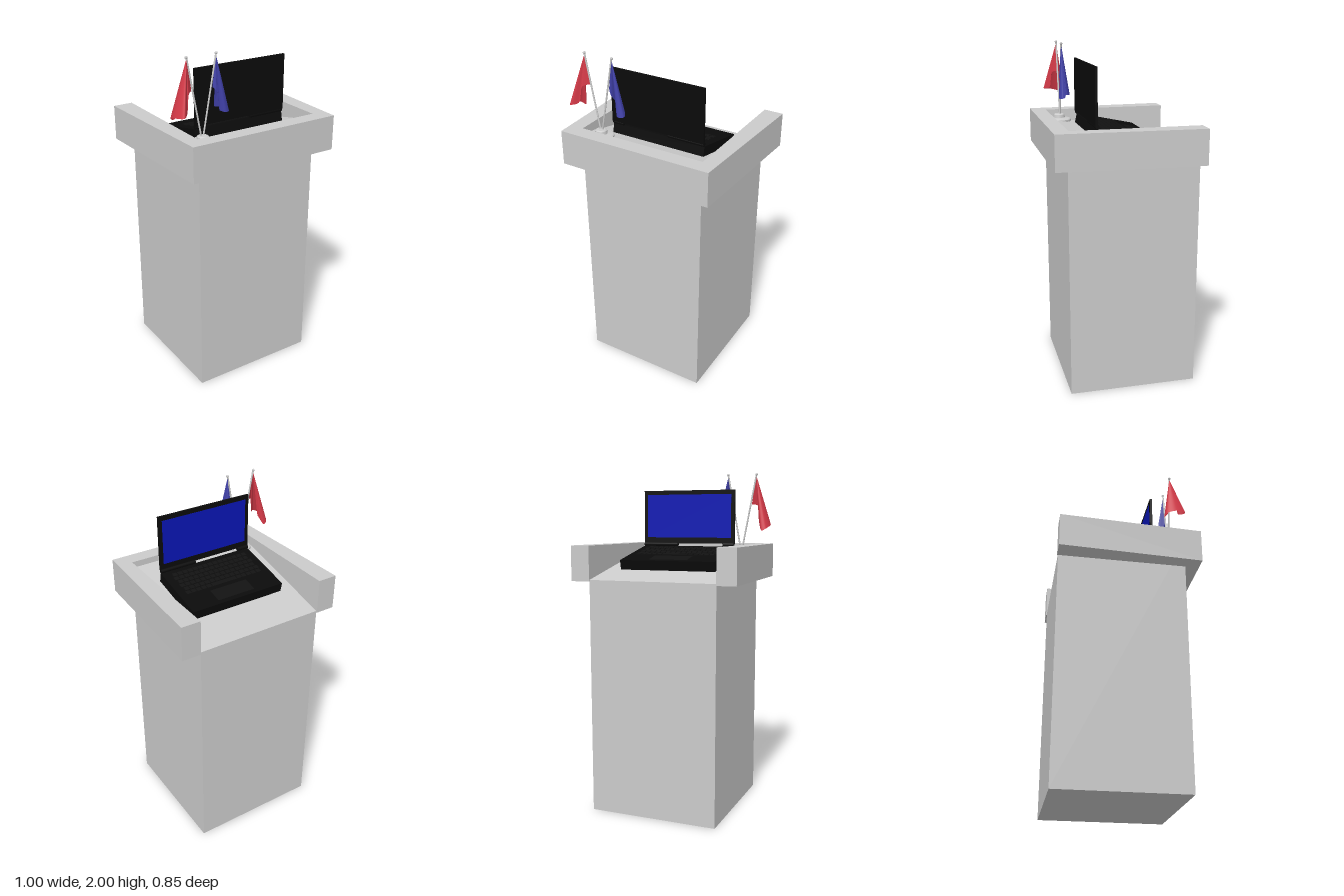
import * as THREE from 'three';

const V = (x, y, z) => new THREE.Vector3(x, y, z);
const mat = (color, extra = {}) => new THREE.MeshStandardMaterial({ color, ...extra });

function add(parent, name, geometry, material, x = 0, y = 0, z = 0) {
  const mesh = new THREE.Mesh(geometry, material);
  mesh.name = name;
  mesh.position.set(x, y, z);
  parent.add(mesh);
  return mesh;
}

function extrude(points, depth) {
  const shape = new THREE.Shape(points.map(([x, y]) => new THREE.Vector2(x, y)));
  return new THREE.ExtrudeGeometry(shape, { depth, bevelEnabled: false });
}

// Thin rod between two points
function rod(parent, name, a, b, radius, material) {
  const dir = b.clone().sub(a);
  const mesh = add(parent, name, new THREE.CylinderGeometry(radius, radius, dir.length(), 10), material);
  mesh.position.copy(a).add(b).multiplyScalar(0.5);
  mesh.quaternion.setFromUnitVectors(V(0, 1, 0), dir.normalize());
}

// Draped cloth: folds fan out from the pole tip to a wavy hem
function drape(apex, hem, nu = 48, nv = 10) {
  const curve = new THREE.CatmullRomCurve3(hem.map(p => V(...p)));
  const pos = [], idx = [];
  for (let j = 0; j <= nv; j++) {
    const t = 0.02 + 0.98 * j / nv;
    for (let i = 0; i <= nu; i++) {
      const p = apex.clone().lerp(curve.getPoint(i / nu), t);
      pos.push(p.x, p.y, p.z);
      if (i < nu && j < nv) {
        const a = j * (nu + 1) + i, b = a + nu + 1;
        idx.push(a, b, a + 1, a + 1, b, b + 1);
      }
    }
  }
  const g = new THREE.BufferGeometry();
  g.setAttribute('position', new THREE.Float32BufferAttribute(pos, 3));
  g.setIndex(idx);
  g.computeVertexNormals();
  return g;
}

export function createModel() {
  const model = new THREE.Group();
  model.name = 'lectern';
  const grey = mat(0xcccccc);
  const black = mat(0x0b0b0b);
  const keyMat = mat(0x121212);

  // Pedestal with a sloping top
  const backTop = 1.38, frontTop = 1.54;
  const body = extrude([[-0.42, 0], [0.34, 0], [0.34, frontTop], [-0.42, backTop]], 0.77);
  body.rotateY(-Math.PI / 2).translate(0.385, 0, 0);
  add(model, 'pedestal', body, grey);

  // U-shaped rim, open at the back
  const rim = extrude([
    [-0.5, -0.425], [-0.385, -0.425], [-0.385, 0.333], [0.385, 0.333],
    [0.385, -0.425], [0.5, -0.425], [0.467, 0.423], [-0.467, 0.423],
  ], 0.205);
  rim.rotateX(Math.PI / 2).translate(0, 1.575, 0);
  add(model, 'rim', rim, grey);

  // Laptop base lying on the slope
  const slope = Math.atan((frontTop - backTop) / 0.76);
  const laptop = new THREE.Group();
  laptop.name = 'laptop';
  model.add(laptop);
  const base = new THREE.Group();
  base.name = 'laptopBase';
  base.position.set(0, 1.466, -0.014);
  base.rotation.x = -slope;
  laptop.add(base);
  const thick = 0.058;
  add(base, 'laptopCase', new THREE.BoxGeometry(0.594, thick, 0.365), black, 0, thick / 2, 0);
  add(base, 'touchpad', new THREE.BoxGeometry(0.24, 0.003, 0.09), keyMat, 0, thick, -0.112);

  // Keyboard rows, the last one holding the space bar
  const keyW = 0.027, pitch = 0.0335;
  for (let r = 0; r < 6; r++) {
    const z = 0.135 - r * 0.033;
    for (let k = 0; k < 15; k++) {
      if (r === 5 && k > 4 && k < 10) continue;
      const x = (k - 7) * pitch + (r % 2 ? 0.004 : -0.004);
      add(base, 'key', new THREE.BoxGeometry(keyW, 0.005, 0.026), keyMat, x, thick + 0.002, z);
    }
  }
  add(base, 'spaceBar', new THREE.BoxGeometry(pitch * 5 - 0.007, 0.005, 0.026), keyMat, 0.004, thick + 0.002, -0.03);

  // Upright screen on two hinges
  add(laptop, 'screenLid', new THREE.BoxGeometry(0.594, 0.323, 0.014), black, 0, 1.7385, 0.159);
  add(laptop, 'display', new THREE.BoxGeometry(0.55, 0.262, 0.002), mat(0x0a16b4), 0, 1.744, 0.1517);
  for (const [x, w] of [[0.183, 0.225], [-0.26, 0.07]]) {
    const hinge = new THREE.CylinderGeometry(0.012, 0.012, w, 12).rotateZ(Math.PI / 2);
    add(laptop, 'hinge', hinge, black, x, 1.571, 0.153);
  }

  // Flag stand
  const stand = [[0, 0], [0.073, 0], [0.073, 0.012], [0.066, 0.017], [0.036, 0.022], [0.033, 0.04], [0.025, 0.045], [0, 0.045]]
    .map(([x, y]) => new THREE.Vector2(x, y));
  add(model, 'flagStand', new THREE.LatheGeometry(stand, 32), mat(0xcccccc, { flatShading: true }), -0.31, 1.515, 0.262);

  // Two leaning poles with draped flags
  const flags = [
    {
      name: 'red', color: 0xd53a48, tip: V(-0.4, 1.995, 0.257), foot: V(-0.312, 1.53, 0.257),
      hem: [[-0.373, 1.815, 0.257], [-0.405, 1.805, 0.285], [-0.425, 1.71, 0.3], [-0.462, 1.7, 0.333],
        [-0.489, 1.69, 0.27], [-0.477, 1.67, 0.213], [-0.452, 1.657, 0.203], [-0.425, 1.71, 0.235]],
    },
    {
      name: 'blue', color: 0x4040a8, tip: V(-0.22, 1.995, 0.257), foot: V(-0.308, 1.53, 0.257),
      hem: [[-0.245, 1.815, 0.257], [-0.225, 1.79, 0.272], [-0.212, 1.72, 0.225], [-0.205, 1.69, 0.213],
        [-0.182, 1.69, 0.235], [-0.2, 1.68, 0.256], [-0.178, 1.672, 0.284], [-0.148, 1.672, 0.27],
        [-0.15, 1.68, 0.25], [-0.178, 1.78, 0.247]],
    },
  ];
  for (const f of flags) {
    const flag = new THREE.Group();
    flag.name = f.name + 'Flag';
    model.add(flag);
    rod(flag, 'pole', f.foot, f.tip, 0.005, grey);
    add(flag, 'finial', new THREE.SphereGeometry(0.008, 12, 8), grey, f.tip.x, 1.992, f.tip.z);
    const apex = f.tip.clone().lerp(f.foot, 0.02);
    add(flag, 'cloth', drape(apex, f.hem), mat(f.color, { side: THREE.DoubleSide }));
  }
  return model;
}
